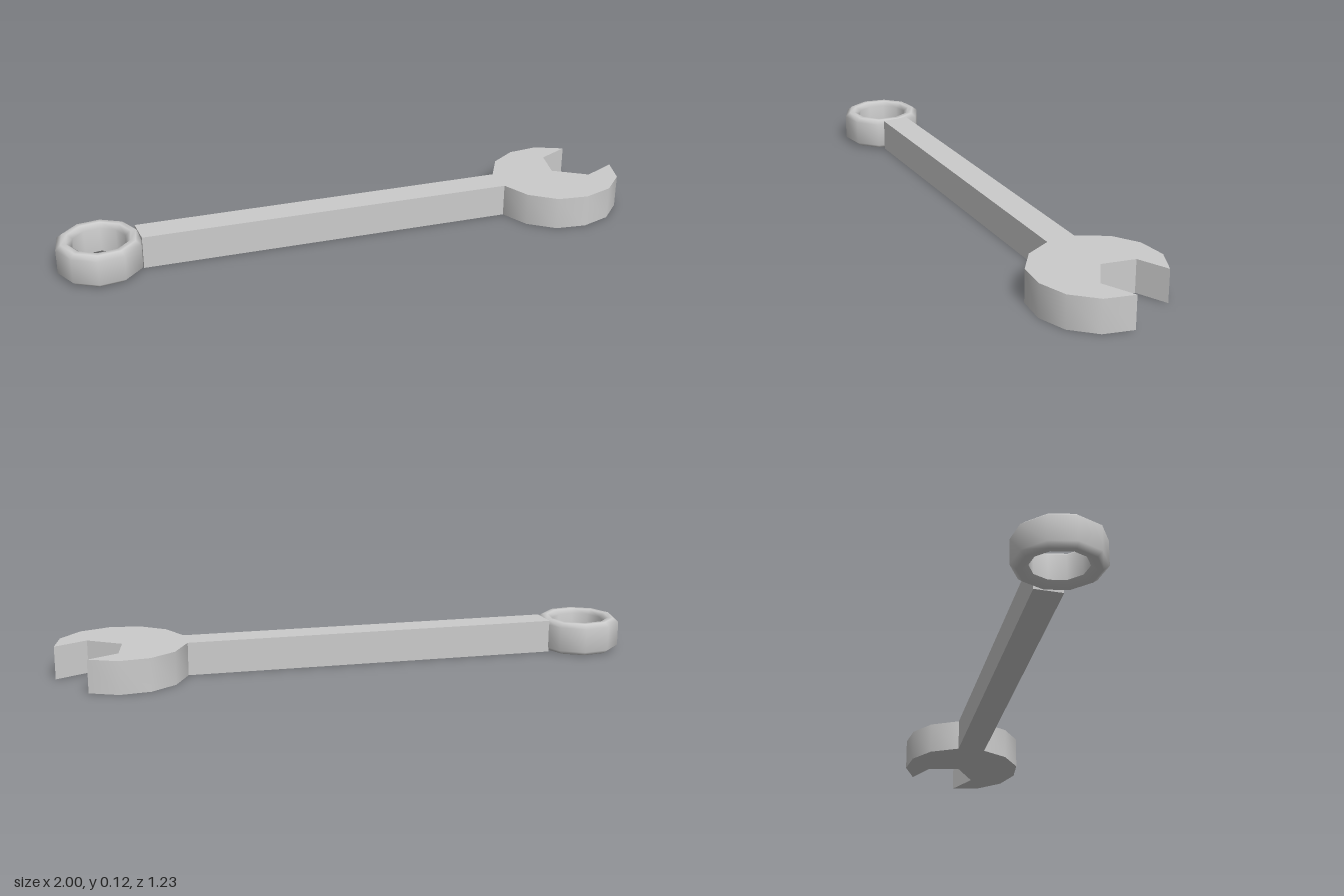
import * as THREE from 'three';
import { toCreasedNormals } from 'three/addons/utils/BufferGeometryUtils.js';

const THICKNESS = 0.125;

// Upright slab from a plan outline given as [x, z] corners
function slab(name, outline, material) {
  const shape = new THREE.Shape(outline.map(([x, z]) => new THREE.Vector2(x, -z)));
  const geometry = new THREE.ExtrudeGeometry(shape, { depth: THICKNESS, bevelEnabled: false });
  geometry.rotateX(-Math.PI / 2);
  const mesh = new THREE.Mesh(toCreasedNormals(geometry, 0.75), material);
  mesh.name = name;
  return mesh;
}

export function createModel() {
  const group = new THREE.Group();
  group.name = 'wrench';
  const material = new THREE.MeshStandardMaterial({ color: 0xcccccc });

  // Open-ended jaw: rounded back, angular mouth
  group.add(slab('openJaw', [
    [0.516, -0.316], [0.516, -0.44], [0.57, -0.54], [0.665, -0.605], [0.78, -0.615],
    [0.705, -0.512], [0.745, -0.39], [0.89, -0.38], [0.97, -0.49],
    [1, -0.38], [0.97, -0.267], [0.89, -0.182], [0.783, -0.139], [0.665, -0.155], [0.57, -0.22],
  ], material));

  // Straight handle, running from the ring to the jaw
  group.add(slab('handle', [
    [-0.742, 0.348], [-0.685, 0.438], [0.57, -0.22], [0.516, -0.316],
  ], material));

  // Ten-sided ring with softened rims, closed profile from the hole outwards
  const inner = 0.1, outer = 0.16, rim = 0.02, drop = 0.016;
  const profile = [
    [inner, drop], [inner + rim, 0], [outer - rim, 0], [outer, drop],
    [outer, THICKNESS - drop], [outer - rim, THICKNESS], [inner + rim, THICKNESS],
    [inner, THICKNESS - drop], [inner, drop],
  ].map(([r, y]) => new THREE.Vector2(r, y));
  const ring = new THREE.Mesh(new THREE.LatheGeometry(profile, 10, Math.PI / 2), material);
  ring.name = 'ringEnd';
  ring.position.set(-0.84, 0, 0.462);
  group.add(ring);

  return group;
}
